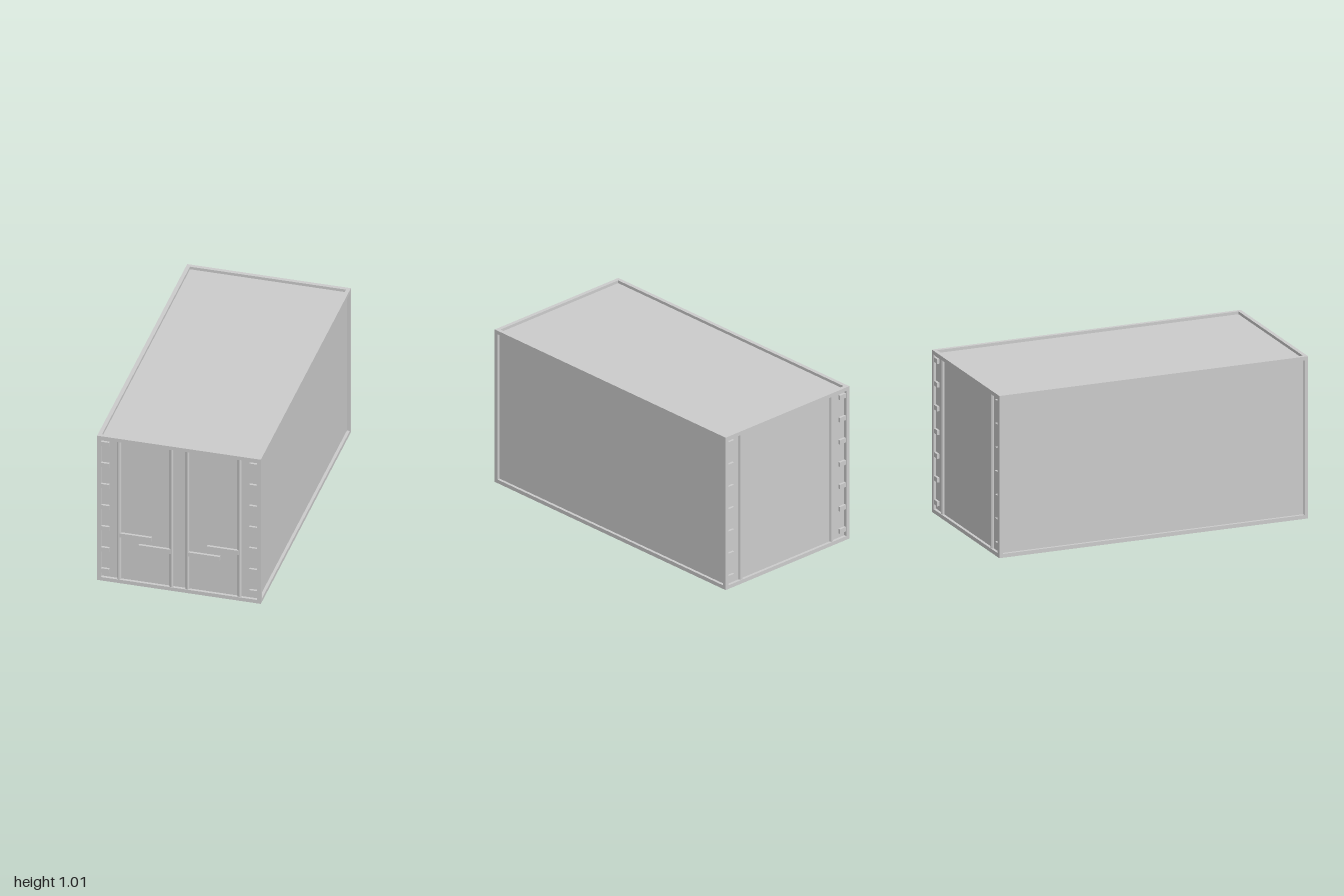
import * as THREE from 'three';

export function createModel() {
  const root = new THREE.Group();
  root.name = 'shippingContainer';
  const mat = new THREE.MeshStandardMaterial({ color: 0xcccccc, flatShading: true });

  const W = 1.01, H = 1.01, L = 2, T = 0.024, R = 0.018; // size, beam thickness, panel recess

  function add(parent, name, geometry, x, y, z) {
    const mesh = new THREE.Mesh(geometry, mat);
    mesh.name = name;
    mesh.position.set(x, y, z);
    parent.add(mesh);
    return mesh;
  }
  const box = (parent, name, w, h, d, x, y, z) =>
    add(parent, name, new THREE.BoxGeometry(w, h, d), x, y, z);

  // Recessed wall, roof and floor panels
  box(root, 'panels', W - 2 * R, H - 2 * R, L - 2 * R, 0, H / 2, 0);

  // Twelve edge beams
  const frame = new THREE.Group();
  frame.name = 'frame';
  root.add(frame);
  const bx = W / 2 - T / 2, bz = L / 2 - T / 2;
  for (const s of [-1, 1]) {
    for (const z of [-bz, bz]) box(frame, 'cornerPost', T, H, T, s * bx, H / 2, z);
    for (const y of [T / 2, H - T / 2]) {
      box(frame, 'sideRail', T, T, L - 2 * T, s * bx, y, 0);
      box(frame, 'endRail', W - 2 * T, T, T, 0, y, s * bz);
    }
  }

  // Fittings of one end, built facing +z
  function endFittings(name, barPositions) {
    const group = new THREE.Group();
    group.name = name;
    root.add(group);
    for (const s of [-1, 1]) {
      for (let i = 0; i < 7; i++)
        box(group, 'hinge', 0.05, 0.029, 0.016, s * 0.457, 0.069 + i * 0.1477, L / 2 - 0.011);
      for (const x of barPositions) {
        const bar = new THREE.CylinderGeometry(0.012, 0.012, H - 2 * T, 8);
        bar.rotateY(Math.PI / 8);
        add(group, 'lockingBar', bar, s * x, H / 2, L / 2 - 0.014);
      }
    }
    return group;
  }

  // Front doors: four locking bars with handles
  const front = endFittings('frontDoors', [0.371, 0.049]);
  for (const s of [-1, 1]) {
    box(front, 'outerHandle', 0.196, 0.028, 0.017, s * 0.27, 0.333, L / 2 - 0.0105);
    box(front, 'innerHandle', 0.196, 0.029, 0.017, s * 0.152, 0.27, L / 2 - 0.0105);
  }

  // Back end: two bars only
  endFittings('backEnd', [0.371]).rotation.y = Math.PI;

  return root;
}
